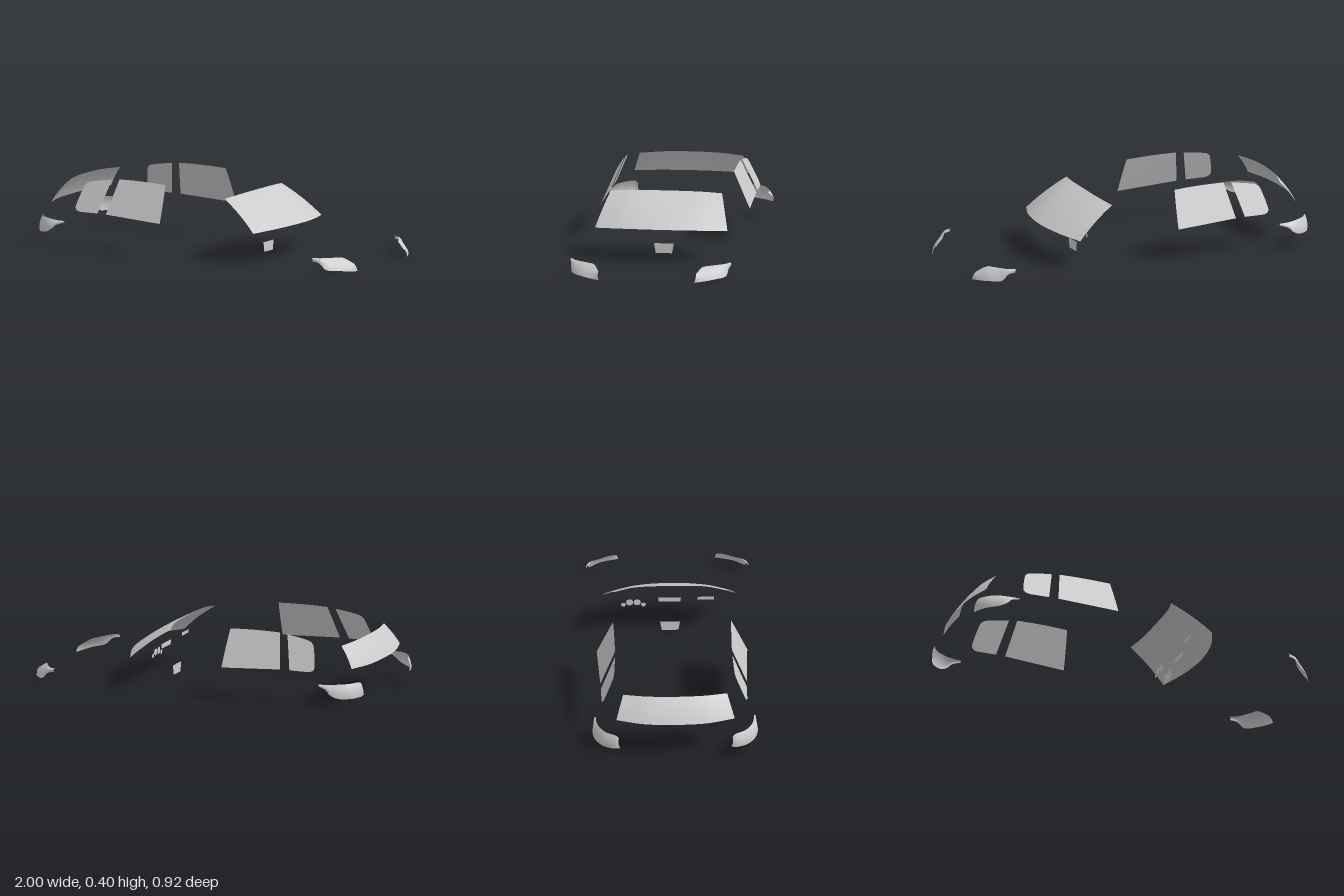
import * as THREE from 'three';

const mat = new THREE.MeshStandardMaterial({ color: 0xcccccc, side: THREE.DoubleSide });
const V = (p) => new THREE.Vector3(...p);

// Smooth curved panel stretched between two edge curves, bulged along a vector
function panel(name, edgeA, edgeB, nu = 24, nv = 6, bulge = [0, 0, 0]) {
  const a = new THREE.CatmullRomCurve3(edgeA.map(V), false, 'centripetal');
  const b = new THREE.CatmullRomCurve3(edgeB.map(V), false, 'centripetal');
  const pos = [], idx = [], w = nv + 1;
  for (let i = 0; i <= nu; i++) {
    const pa = a.getPoint(i / nu), pb = b.getPoint(i / nu);
    for (let j = 0; j <= nv; j++) {
      const t = j / nv;
      const p = pa.clone().lerp(pb, t).addScaledVector(V(bulge), 4 * t * (1 - t));
      pos.push(p.x, p.y, p.z);
      if (i < nu && j < nv) {
        const k = i * w + j;
        idx.push(k, k + 1, k + w, k + 1, k + w + 1, k + w);
      }
    }
  }
  const geo = new THREE.BufferGeometry();
  geo.setAttribute('position', new THREE.Float32BufferAttribute(pos, 3));
  geo.setIndex(idx);
  geo.computeVertexNormals();
  const mesh = new THREE.Mesh(geo, mat);
  mesh.name = name;
  return mesh;
}

// Half an edge (centre to side) mirrored into a full edge
const mirrorEdge = (half) => [
  ...half.slice(1).reverse().map(([x, y, z]) => [x, y, -z]),
  ...half,
];

// Side glass: flat outline leaned inwards towards the roof
function sideGlass(name, shape, side) {
  const geo = new THREE.ShapeGeometry(shape, 10);
  const p = geo.attributes.position;
  for (let i = 0; i < p.count; i++) {
    const x = p.getX(i), y = p.getY(i);
    const z = 0.415 - (y - 0.19) * 0.44 + 0.012 * Math.min(0, x + 0.4);
    p.setZ(i, z * side);
  }
  geo.computeVertexNormals();
  const mesh = new THREE.Mesh(geo, mat);
  mesh.name = name;
  return mesh;
}

// Flat plate facing along x, outline given as [z, y]
function plate(name, x, pts) {
  const shape = new THREE.Shape(pts.map(([z, y]) => new THREE.Vector2(-z, y)));
  const mesh = new THREE.Mesh(new THREE.ShapeGeometry(shape), mat);
  mesh.rotation.y = Math.PI / 2;
  mesh.position.x = x;
  mesh.name = name;
  return mesh;
}

export function createModel() {
  const g = new THREE.Group();
  g.name = 'carGlass';

  // Windshield and rear window
  g.add(panel('windshield',
    mirrorEdge([[0.2, 0.355, 0], [0.194, 0.352, 0.2], [0.17, 0.341, 0.31]]),
    mirrorEdge([[0.475, 0.187, 0], [0.45, 0.183, 0.2], [0.39, 0.173, 0.37]]),
    24, 8, [0.004, 0.008, 0]));
  g.add(panel('rearWindow',
    mirrorEdge([[-0.895, 0.355, 0], [-0.885, 0.353, 0.16], [-0.855, 0.347, 0.288]]),
    mirrorEdge([[-0.988, 0.23, 0], [-0.976, 0.23, 0.18], [-0.935, 0.232, 0.328]]),
    24, 6, [-0.004, 0.003, 0]));

  // Door window outline
  const door = new THREE.Shape();
  door.moveTo(-0.537, 0.207);
  door.lineTo(-0.185, 0.186);
  door.quadraticCurveTo(-0.19, 0.3, -0.2, 0.39);
  door.quadraticCurveTo(-0.35, 0.4, -0.498, 0.396);
  door.closePath();

  // Quarter window outline with rounded rear corners
  const quarter = new THREE.Shape();
  quarter.moveTo(-0.592, 0.208);
  quarter.lineTo(-0.545, 0.39);
  quarter.quadraticCurveTo(-0.62, 0.382, -0.675, 0.37);
  quarter.quadraticCurveTo(-0.705, 0.363, -0.713, 0.34);
  quarter.quadraticCurveTo(-0.735, 0.27, -0.739, 0.235);
  quarter.quadraticCurveTo(-0.738, 0.209, -0.7, 0.208);
  quarter.closePath();

  // Lamp lenses: upper and lower edges, from the side tip round to the inner end
  const headTop = [[0.81, 0.084, 0.443], [0.85, 0.083, 0.42], [0.885, 0.081, 0.37],
    [0.905, 0.079, 0.335], [0.925, 0.076, 0.303], [0.975, 0.045, 0.272]];
  const headLow = [[0.815, 0.066, 0.447], [0.855, 0.057, 0.44], [0.892, 0.022, 0.43],
    [0.95, 0.012, 0.37], [0.982, 0.005, 0.31], [1.0, 0.001, 0.267]];
  const tailTop = [[-0.782, 0.154, 0.438], [-0.83, 0.155, 0.436], [-0.86, 0.157, 0.431],
    [-0.895, 0.16, 0.42], [-0.95, 0.162, 0.385], [-0.985, 0.162, 0.33], [-0.99, 0.15, 0.315]];
  const tailLow = [[-0.781, 0.146, 0.443], [-0.835, 0.128, 0.453], [-0.86, 0.105, 0.458],
    [-0.9, 0.086, 0.447], [-0.965, 0.081, 0.4], [-0.998, 0.084, 0.335], [-1.0, 0.089, 0.307]];

  for (const [label, side] of [['Left', 1], ['Right', -1]]) {
    const flip = (edge) => edge.map(([x, y, z]) => [x, y, z * side]);
    g.add(sideGlass('doorWindow' + label, door, side));
    g.add(sideGlass('quarterWindow' + label, quarter, side));
    g.add(panel('headlight' + label, flip(headTop), flip(headLow), 24, 6, [0.006, 0.004, 0.004 * side]));
    g.add(panel('tailLight' + label, flip(tailTop), flip(tailLow), 24, 6, [-0.005, 0, 0.006 * side]));
  }

  // Dashboard displays
  g.add(plate('centreDisplay', 0.335, [[-0.063, 0.187], [0.063, 0.187], [0.06, 0.16], [-0.06, 0.16]]));
  g.add(plate('consoleDisplay', 0.27, [[-0.054, 0.07], [0.057, 0.07], [0.047, 0.015], [-0.044, 0.015]]));
  g.add(plate('passengerPanel', 0.31, [[0.155, 0.206], [0.245, 0.206], [0.245, 0.188], [0.155, 0.188]]));

  // Gauges: small outer dials, larger inner ones
  for (const [z, y, r] of [[-0.145, 0.167, 0.013], [-0.18, 0.182, 0.02], [-0.222, 0.182, 0.02], [-0.256, 0.167, 0.013]]) {
    const dial = new THREE.Mesh(new THREE.CircleGeometry(r, 24), mat);
    dial.rotation.y = -Math.PI / 2;
    dial.position.set(0.3, y, z);
    dial.name = 'gauge';
    g.add(dial);
  }
  return g;
}
